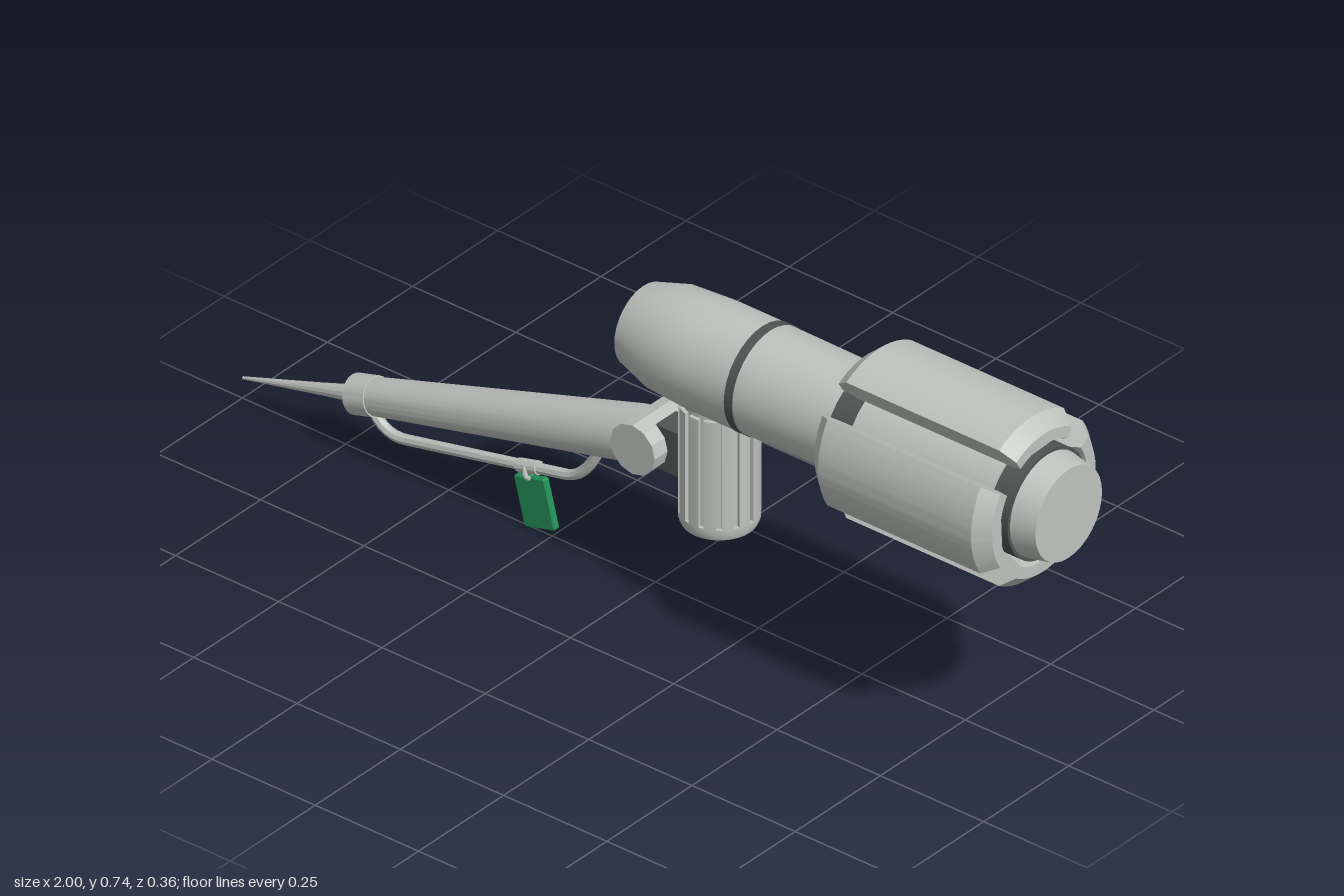
import * as THREE from 'three';
import { toCreasedNormals } from 'three/addons/utils/BufferGeometryUtils.js';

const paint = (name, color) => Object.assign(new THREE.MeshStandardMaterial({ color }), { name });

export function createModel() {
  const model = new THREE.Group();
  model.name = 'scopedDevice';
  const grey = paint('lightGrey', 0xbfc3bf);
  const dark = paint('darkGrey', 0x505453);
  const green = paint('green', 0x239058);

  const add = (name, geo, mat, parent = model) => {
    const mesh = new THREE.Mesh(toCreasedNormals(geo, 0.5), mat);
    mesh.name = name;
    parent.add(mesh);
    return mesh;
  };
  // Profiles are [radius, height] pairs, listed bottom to top
  const lathe = (pts, seg = 32) =>
    new THREE.LatheGeometry(pts.map(([r, h]) => new THREE.Vector2(r, h)), seg);

  // Barrel assembly, lathed along x
  const barrel = new THREE.Group();
  barrel.name = 'barrel';
  barrel.position.y = 0.57;
  model.add(barrel);
  const along = (name, pts, mat) => add(name, lathe(pts).rotateZ(-Math.PI / 2), mat, barrel);
  along('rearBarrel', [[0, -0.03], [0.085, -0.03], [0.106, 0.04], [0.112, 0.14], [0.112, 0.262], [0, 0.262]], grey);
  along('barrelBand', [[0, 0.258], [0.113, 0.258], [0.113, 0.277], [0, 0.277]], dark);
  along('middleBarrel', [[0, 0.273], [0.111, 0.273], [0.109, 0.49], [0.109, 0.53], [0, 0.53]], grey);
  along('rearFinRing', [[0, 0.505], [0.116, 0.505], [0.116, 0.565], [0, 0.565]], dark);
  along('finCore', [[0, 0.56], [0.12, 0.56], [0.12, 0.9], [0, 0.9]], grey);
  along('frontFinRing', [[0, 0.89], [0.115, 0.89], [0.115, 0.947], [0, 0.947]], dark);
  along('endCap', [[0, 0.94], [0.11, 0.94], [0.107, 0.955], [0.098, 1], [0, 1]], grey);

  // Four curved fins, chamfered at both ends
  const half = 0.565;
  const sector = new THREE.Shape();
  sector.absarc(0, 0, 0.178, Math.PI / 2 - half, Math.PI / 2 + half, false);
  sector.absarc(0, 0, 0.118, Math.PI / 2 + half, Math.PI / 2 - half, true);
  sector.closePath();
  const finGeo = new THREE.ExtrudeGeometry(sector, { depth: 3, steps: 3, bevelEnabled: false, curveSegments: 14 });
  const pos = finGeo.attributes.position;
  const stations = [0.51, 0.54, 0.91, 0.94];
  for (let i = 0; i < pos.count; i++) {
    const step = Math.round(pos.getZ(i));
    const end = step === 0 || step === 3;
    const outer = Math.hypot(pos.getX(i), pos.getY(i)) > 0.15;
    const k = end ? (outer ? 0.152 / 0.178 : 0.128 / 0.118) : 1;
    pos.setXYZ(i, pos.getX(i) * k, pos.getY(i) * k, stations[step]);
  }
  finGeo.rotateY(Math.PI / 2);
  for (let i = 0; i < 4; i++) add('fin', finGeo, grey, barrel).rotation.x = (i * Math.PI) / 2;

  // Grip with fourteen upright flutes
  const grip = new THREE.Group();
  grip.name = 'grip';
  grip.position.x = 0.155;
  model.add(grip);
  const section = new THREE.Shape();
  const flutes = 14, pitch = (2 * Math.PI) / flutes, slot = 0.07;
  for (let i = 0; i < flutes; i++) {
    const a = i * pitch;
    const at = (r, t) => [r * Math.cos(t), r * Math.sin(t)];
    if (i === 0) section.moveTo(...at(0.07, a - slot));
    else section.lineTo(...at(0.07, a - slot));
    section.lineTo(...at(0.07, a + slot));
    for (let j = 0; j <= 3; j++) section.lineTo(...at(0.078, a + slot + ((pitch - 2 * slot) * j) / 3));
  }
  section.closePath();
  const fluted = new THREE.ExtrudeGeometry(section, { depth: 0.24, bevelEnabled: false });
  add('flutedGrip', fluted.rotateX(-Math.PI / 2).translate(0, 0.235, 0), grey, grip);
  add('gripBase', lathe([[0, 0.212], [0.073, 0.212], [0.078, 0.224], [0.078, 0.237], [0, 0.237]]), grey, grip);
  add('gripNeck', lathe([[0, 0.46], [0.07, 0.46], [0.07, 0.52], [0, 0.52]]), grey, grip);

  // Bracket and pivot joining grip and arm
  add('bracket', new THREE.BoxGeometry(0.1, 0.095, 0.06), dark).position.set(0.06, 0.337, 0);
  add('pivot', new THREE.CylinderGeometry(0.054, 0.054, 0.136, 12).rotateX(Math.PI / 2), grey)
    .position.set(0, 0.337, 0);

  // Tapered arm and needle tip
  const arm = new THREE.Group();
  arm.name = 'arm';
  arm.position.set(0, 0.335, 0);
  arm.rotation.z = Math.PI / 2 + 0.273;
  model.add(arm);
  add('armTube', lathe([[0, -0.015], [0.055, -0.015], [0.057, 0.04], [0.037, 0.71], [0, 0.71]], 24), grey, arm);
  add('armCollar', lathe([[0, 0.7], [0.04, 0.7], [0.04, 0.752], [0, 0.752]], 24), grey, arm);
  add('needle', lathe([[0, 0.74], [0.018, 0.74], [0.012, 0.84], [0.003, 1.037], [0, 1.037]], 12), grey, arm);

  // Bent rail below the arm
  const v = (x, y) => new THREE.Vector3(x, y, 0);
  const rail = new THREE.CurvePath();
  const bend1 = [v(-0.69, 0.125), v(-0.66, 0.065), v(-0.6, 0.08)];
  const bend2 = [v(-0.22, 0.16), v(-0.17, 0.168), v(-0.135, 0.25)];
  rail.add(new THREE.QuadraticBezierCurve3(...bend1));
  rail.add(new THREE.LineCurve3(bend1[2], bend2[0]));
  rail.add(new THREE.QuadraticBezierCurve3(...bend2));
  add('rail', new THREE.TubeGeometry(rail, 40, 0.011, 8), grey);

  // Hanging tag and its loop
  const tag = new THREE.Group();
  tag.name = 'tag';
  tag.position.set(-0.288, 0.071, 0);
  tag.rotation.z = 0.255;
  model.add(tag);
  const plate = new THREE.Shape();
  plate.moveTo(-0.035, -0.054).lineTo;
  [[0.035, -0.054], [0.039, -0.05], [0.039, 0.05], [0.035, 0.054], [-0.035, 0.054], [-0.039, 0.05], [-0.039, -0.05]]
    .forEach(([x, y]) => plate.lineTo(x, y));
  plate.closePath();
  add('tagPlate', new THREE.ExtrudeGeometry(plate, {
    depth: 0.01, bevelThickness: 0.003, bevelSize: 0.003, bevelOffset: -0.003, bevelSegments: 1,
  }).translate(0, 0, -0.005), green, tag);
  add('tagLoop', new THREE.TorusGeometry(0.015, 0.005, 8, 16).rotateY(Math.PI / 2), grey, tag)
    .position.set(0, 0.064, 0);
  add('tagSleeve', new THREE.CylinderGeometry(0.014, 0.014, 0.05, 12).rotateZ(Math.PI / 2), grey, tag)
    .position.set(0, 0.073, 0);

  return model;
}
